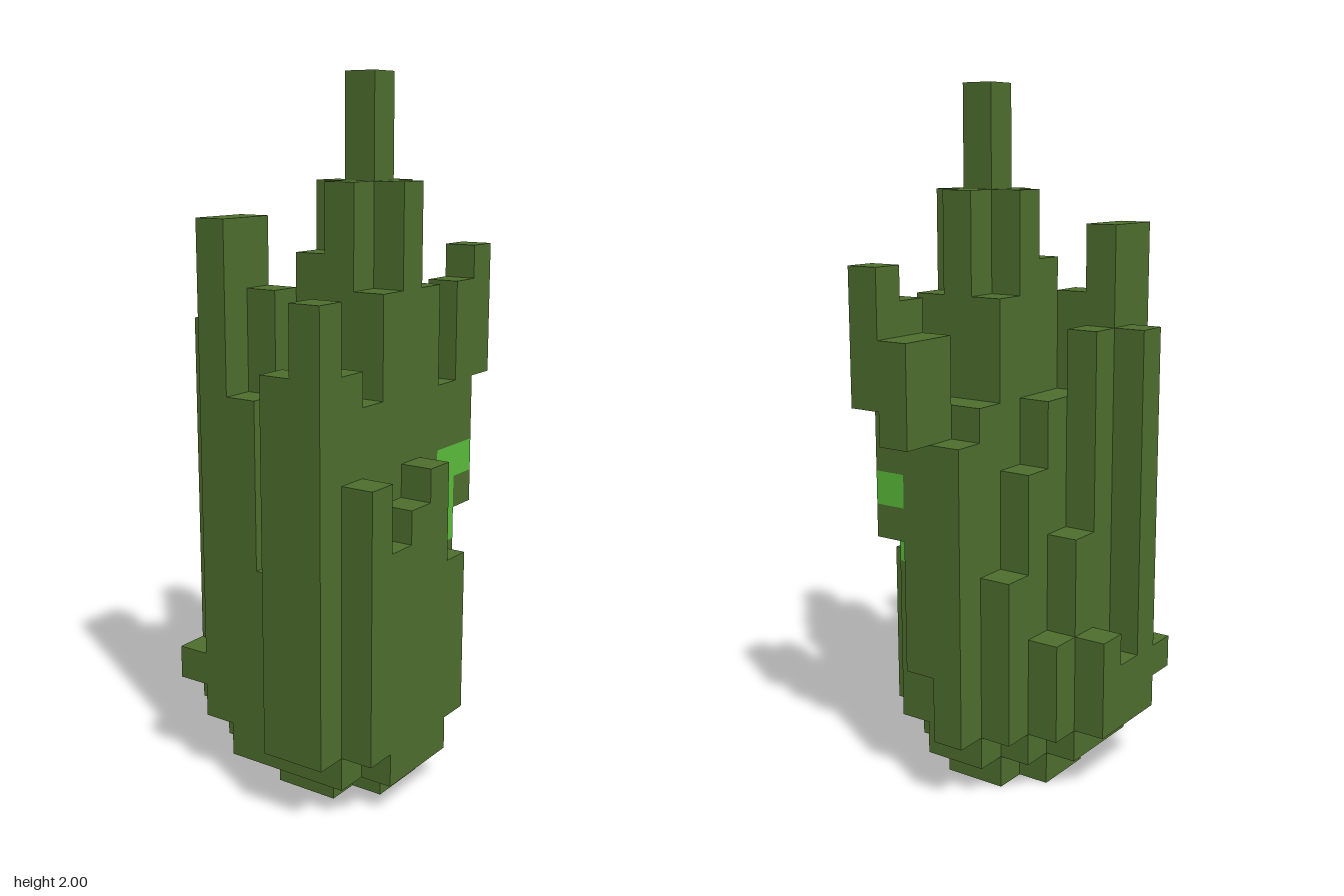
import * as THREE from 'three';
import { mergeGeometries } from 'three/addons/utils/BufferGeometryUtils.js';

const S = 2 / 21; // block size
const NX = 7, NY = 21, NZ = 9;

// Column tops and undersides in blocks: one row per z (back to front), one entry per x
const tops = [
  [0, 0, 0, 0, 14, 16, 0],
  [0, 0, 0, 11, 14, 15, 0],
  [0, 0, 7, 12, 12, 12, 0],
  [0, 5, 10, 15, 18, 15, 7],
  [5, 8, 12, 18, 21, 18, 10],
  [4, 14, 12, 16, 18, 15, 9],
  [14, 17, 15, 11, 12, 12, 8],
  [4, 17, 12, 7, 12, 13, 10],
  [0, 0, 0, 0, 13, 15, 0],
];
const bottoms = [
  [0, 0, 0, 0, 11, 12, 0],
  [0, 0, 0, 2, 4, 8, 0],
  [0, 0, 2, 1, 1, 2, 0],
  [0, 2, 1, 0, 0, 1, 2],
  [2, 1, 0, 0, 0, 0, 1],
  [2, 1, 0, 0, 0, 0, 1],
  [2, 1, 1, 0, 0, 1, 1],
  [3, 2, 1, 1, 1, 1, 2],
  [0, 0, 0, 0, 2, 2, 0],
];

const solid = (i, j, k) =>
  i >= 0 && i < NX && k >= 0 && k < NZ && j >= bottoms[k][i] && j < tops[k][i];

// Bright leaf blocks on the left side
const isBright = (i, j, k) =>
  i === 5 && ((k === 2 && j >= 7 && j <= 9) || (k === 1 && j === 9));

// The six block faces: outward direction and the turn that points a plane that way
const H = Math.PI / 2;
const sides = [
  [0, 0, 1, 0, 0], [0, 0, -1, 0, Math.PI],
  [1, 0, 0, 0, H], [-1, 0, 0, 0, -H],
  [0, 1, 0, -H, 0], [0, -1, 0, H, 0],
];

function blockFaces(i, j, k) {
  const faces = [];
  for (const [dx, dy, dz, rx, ry] of sides) {
    if (solid(i + dx, j + dy, k + dz)) continue;
    const face = new THREE.PlaneGeometry(S, S);
    face.rotateX(rx).rotateY(ry);
    face.translate(
      (i - (NX - 1) / 2 + dx / 2) * S,
      (j + 0.5 + dy / 2) * S,
      (k - (NZ - 1) / 2 + dz / 2) * S
    );
    faces.push(face);
  }
  return faces;
}

export function createModel() {
  const leafGreen = new THREE.MeshStandardMaterial({ color: 0x4f702f });
  leafGreen.name = 'leafGreen';
  const brightGreen = new THREE.MeshStandardMaterial({ color: 0x5cc03c });
  brightGreen.name = 'brightGreen';

  // Outer faces of every block, sorted by colour
  const leaf = [], bright = [];
  for (let k = 0; k < NZ; k++)
    for (let i = 0; i < NX; i++)
      for (let j = 0; j < NY; j++)
        if (solid(i, j, k))
          (isBright(i, j, k) ? bright : leaf).push(...blockFaces(i, j, k));

  const model = new THREE.Group();
  model.name = 'blockBush';
  const add = (name, faces, material) => {
    const mesh = new THREE.Mesh(mergeGeometries(faces), material);
    mesh.name = name;
    model.add(mesh);
  };
  add('foliage', leaf, leafGreen);
  add('brightLeaves', bright, brightGreen);
  return model;
}
